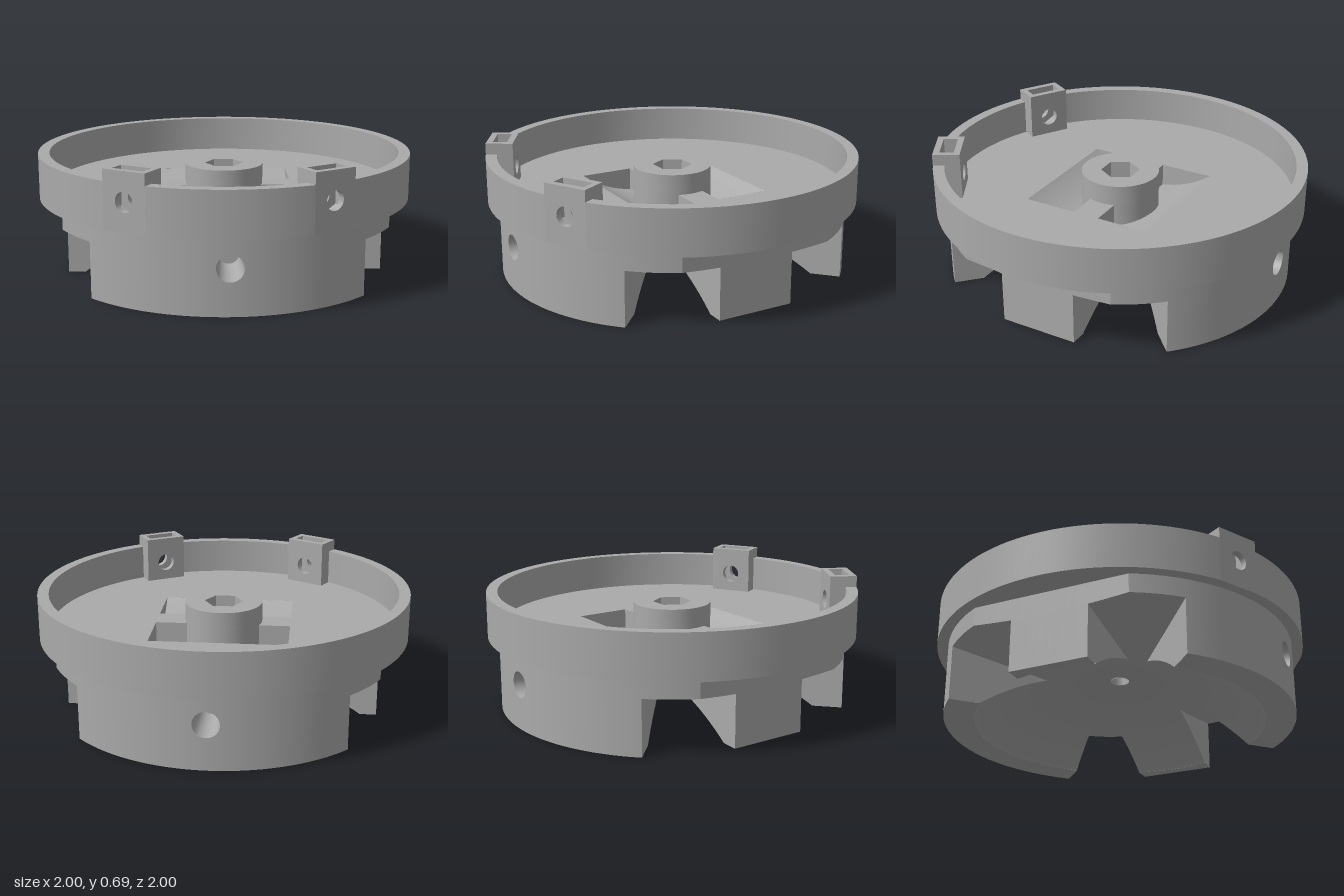
import * as THREE from 'three';
import { toCreasedNormals } from 'three/addons/utils/BufferGeometryUtils.js';
import { ParametricGeometry } from 'three/addons/geometries/ParametricGeometry.js';

const RIM = 1, BODY = 0.94, FLAT = 0.84, LEDGE = 0.395, FLOOR = 0.44, TOP = 0.635;
const SLOT_R = 0.42, MOUTH = 0.78, FOOT = 0.21, BORE = 0.05;
const SLOT_ANGLE = THREE.MathUtils.degToRad(43.5); // half sector, measured from the x axis
const CLIP_ANGLE = Math.PI / 6, CLIP_W = 0.235;

const lerp = THREE.MathUtils.lerp;
const dome = r => Math.max(0, Math.sqrt(1.706 - r * r) - 1.047);
const ceiling = r => 0.19 + (r - SLOT_R) * 0.2;
const pocketFloor = z => 0.9 - Math.sqrt(0.345 - z * z);
const outer = a => Math.min(BODY, FLAT / Math.max(1e-6, Math.abs(Math.cos(a))));

export function createModel() {
  const model = new THREE.Group();
  const grey = new THREE.MeshStandardMaterial({ color: 0xaaaaaa, side: THREE.DoubleSide });
  grey.name = 'plain grey';

  const add = (name, geometry, parent = model) => {
    const mesh = new THREE.Mesh(geometry, grey);
    mesh.name = name;
    parent.add(mesh);
    return mesh;
  };
  const sheet = (name, fn, nu, nv, parent) =>
    add(name, new ParametricGeometry((u, v, t) => t.set(...fn(u, v)), nu, nv), parent);
  const polar = (r, a, y) => [r * Math.cos(a), y, r * Math.sin(a)];
  const extrude = (shape, depth) => toCreasedNormals(
    new THREE.ExtrudeGeometry(shape, { depth, bevelEnabled: false, curveSegments: 32 }), 0.5);
  const circle = (r, y = 0) => new THREE.Path().absarc(0, y, r, 0, Math.PI * 2, true);
  const rect = (x0, y0, x1, y1, Type = THREE.Path) => new Type([
    [x0, y0], [x1, y0], [x1, y1], [x0, y1]].map(p => new THREE.Vector2(...p)));

  // Raised rim, broken where the two clips sit
  const gap = Math.asin(CLIP_W / 2);
  const rimProfile = [[BODY, FLOOR], [BODY, TOP], [RIM, TOP], [RIM, LEDGE], [0.9, LEDGE]];
  const rimArc = (from, to) => {
    const geo = new THREE.LatheGeometry(rimProfile.map(p => new THREE.Vector2(...p)), 96, from, to - from);
    add('rim', toCreasedNormals(geo, 0.5));
  };
  rimArc(-CLIP_ANGLE + gap, CLIP_ANGLE - gap);
  rimArc(CLIP_ANGLE + gap, Math.PI * 2 - CLIP_ANGLE - gap);
  add('rimUnderside', new THREE.RingGeometry(0.82, 0.99, 96).rotateX(Math.PI / 2).translate(0, LEDGE, 0));

  // Tray floor with two rectangular openings
  const floor = new THREE.Shape().absarc(0, 0, BODY + 0.003, 0, Math.PI * 2);
  for (const s of [-1, 1]) floor.holes.push(rect(-0.365, s * 0.073, 0.365, s * 0.365));
  add('trayFloor', new THREE.ShapeGeometry(floor, 64).rotateX(-Math.PI / 2).translate(0, FLOOR, 0));

  // Pockets with a curved bottom
  for (const s of [-1, 1]) {
    const z = u => lerp(0.073, 0.365, u);
    sheet('pocketBottom', (u, v) => [lerp(-0.365, 0.365, v), pocketFloor(z(u)), s * z(u)], 20, 1);
    sheet('pocketInnerWall', (u, v) =>
      [lerp(-0.365, 0.365, u), lerp(pocketFloor(0.073), FLOOR, v), s * 0.073], 1, 1);
    for (const x of [-0.365, 0.365]) {
      sheet('pocketEnd', (u, v) => [x, lerp(pocketFloor(z(u)), FLOOR + 1e-4, v), s * z(u)], 20, 1);
    }
  }

  // Central boss with a hexagonal socket and a through bore
  const bossTop = new THREE.Shape().absarc(0, 0, 0.21, 0, Math.PI * 2);
  const bossBase = bossTop.clone();
  bossTop.holes.push(new THREE.Path(Array.from({ length: 6 }, (_, i) =>
    new THREE.Vector2(Math.cos(i * Math.PI / 3), Math.sin(i * Math.PI / 3)).multiplyScalar(0.105))));
  bossBase.holes.push(circle(BORE));
  add('bossSocket', extrude(bossTop, 0.1).rotateX(-Math.PI / 2).translate(0, 0.45, 0));
  add('bossBase', extrude(bossBase, 0.15).rotateX(-Math.PI / 2).translate(0, 0.3, 0));
  add('bore', new THREE.CylinderGeometry(BORE, BORE, 0.05, 32, 1, true).translate(0, 0.28, 0));

  // Domed hollow under the centre
  sheet('domeCentre', (u, v) => {
    const r = lerp(BORE, SLOT_R, u);
    return polar(r, v * Math.PI * 2, dome(r));
  }, 12, 64);

  // Front and back halves of the lower body; each is built facing +z
  for (const turn of [0, Math.PI]) {
    const half = new THREE.Group();
    half.name = turn ? 'backBody' : 'frontBody';
    half.rotation.y = turn;
    model.add(half);
    const a = v => lerp(SLOT_ANGLE, Math.PI - SLOT_ANGLE, v);
    sheet('domeSide', (u, v) => {
      const r = lerp(SLOT_R, MOUTH, u);
      return polar(r, a(v), dome(r));
    }, 12, 32, half);
    sheet('bodyFoot', (u, v) => polar(lerp(MOUTH, BODY, u), a(v), 0), 1, 32, half);

    // Curved wall either side of the screw hole
    const patch = 0.13;
    for (const s of [-1, 1]) {
      sheet('bodyWall', (u, v) => polar(BODY,
        Math.PI / 2 + s * lerp(patch, Math.PI / 2 - SLOT_ANGLE, u), v * LEDGE), 24, 1, half);
      // Radial faces of the slots
      sheet('slotFace', (u, v) => {
        const r = lerp(SLOT_R, BODY, u);
        return polar(r, Math.PI / 2 + s * (Math.PI / 2 - SLOT_ANGLE), lerp(dome(r), ceiling(r), v));
      }, 26, 1, half);
    }

    // Wall panel around the screw hole, bent to the body radius
    const w = patch * BODY, pts = [];
    for (let i = 0; i <= 10; i++) pts.push(new THREE.Vector2(lerp(-w, w, i / 10), 0));
    for (let i = 10; i >= 0; i--) pts.push(new THREE.Vector2(lerp(-w, w, i / 10), LEDGE));
    const panel = new THREE.Shape(pts);
    panel.holes.push(circle(0.068, 0.24));
    const geo = new THREE.ShapeGeometry(panel, 32);
    const p = geo.attributes.position, n = geo.attributes.normal;
    for (let i = 0; i < p.count; i++) {
      const t = p.getX(i) / BODY;
      p.setXYZ(i, BODY * Math.sin(t), p.getY(i), BODY * Math.cos(t));
      n.setXYZ(i, Math.sin(t), 0, Math.cos(t));
    }
    add('holePanel', geo, half);

    // Blind tapered screw hole
    sheet('screwHole', (u, v) => {
      const r = lerp(0.068, 0.053, v), t = u * Math.PI * 2, x = r * Math.cos(t);
      return [x, 0.24 + r * Math.sin(t), lerp(Math.sqrt(BODY * BODY - x * x), 0.69, v)];
    }, 32, 1, half);
    add('screwHoleEnd', new THREE.CircleGeometry(0.053, 32).translate(0, 0.24, 0.69), half);
  }

  // Slotted sides with a flat face and a small central foot; built facing +x
  for (const turn of [0, Math.PI]) {
    const side = new THREE.Group();
    side.name = turn ? 'rightSide' : 'leftSide';
    side.rotation.y = turn;
    model.add(side);
    const flatEnd = Math.acos(FLAT / BODY);
    for (const [from, to] of [[-SLOT_ANGLE, -flatEnd], [-flatEnd, flatEnd], [flatEnd, SLOT_ANGLE]]) {
      const a = v => lerp(from, to, v);
      sheet('slotCeiling', (u, v) => {
        const r = lerp(SLOT_R, outer(a(v)), u);
        return polar(r, a(v), ceiling(r));
      }, 4, 16, side);
      sheet('sideWall', (u, v) => {
        const r = outer(a(u));
        return polar(r, a(u), lerp(ceiling(r), LEDGE, v));
      }, 16, 1, side);
    }

    // Foot between the slots
    const xAt = (r, z) => Math.sqrt(r * r - z * z);
    const z = v => lerp(-FOOT, FOOT, v);
    sheet('footHollow', (u, v) => {
      const r = lerp(SLOT_R, MOUTH, u);
      return [xAt(r, z(v)), dome(r), z(v)];
    }, 12, 12, side);
    sheet('footBase', (u, v) => [lerp(xAt(MOUTH, z(v)), FLAT, u), 0, z(v)], 1, 12, side);
    sheet('footFront', (u, v) => [FLAT, v * ceiling(Math.hypot(FLAT, z(u))), z(u)], 8, 1, side);
    for (const s of [-FOOT, FOOT]) {
      sheet('footSide', (u, v) => {
        const x = lerp(xAt(SLOT_R, s), FLAT, u), r = Math.hypot(x, s);
        return [x, lerp(dome(r), ceiling(r), v), s];
      }, 24, 1, side);
    }
  }

  // Nut-trap clips: pierced plates either side of a slot with a V-shaped bottom
  const h = CLIP_W / 2, y0 = LEDGE, y1 = 0.695, holeY = 0.545, slot = 0.086;
  for (const s of [-1, 1]) {
    const clip = new THREE.Group();
    clip.name = s > 0 ? 'leftClip' : 'rightClip';
    clip.rotation.y = s * CLIP_ANGLE;
    model.add(clip);
    const plate = rect(-h, y0, h, y1, THREE.Shape);
    plate.holes.push(circle(0.05, holeY));
    add('clipInnerPlate', extrude(plate, 0.034).translate(0, 0, 0.848), clip);
    add('clipOuterPlate', extrude(plate, 0.034).translate(0, 0, 0.959), clip);
    const cradle = new THREE.Shape([[-h, y0], [h, y0], [h, y1], [slot, y1], [slot, 0.496], [0, 0.447],
      [-slot, 0.496], [-slot, y1], [-h, y1]].map(q => new THREE.Vector2(...q)));
    add('clipCradle', extrude(cradle, 0.077).translate(0, 0, 0.882), clip);
  }
  return model;
}
